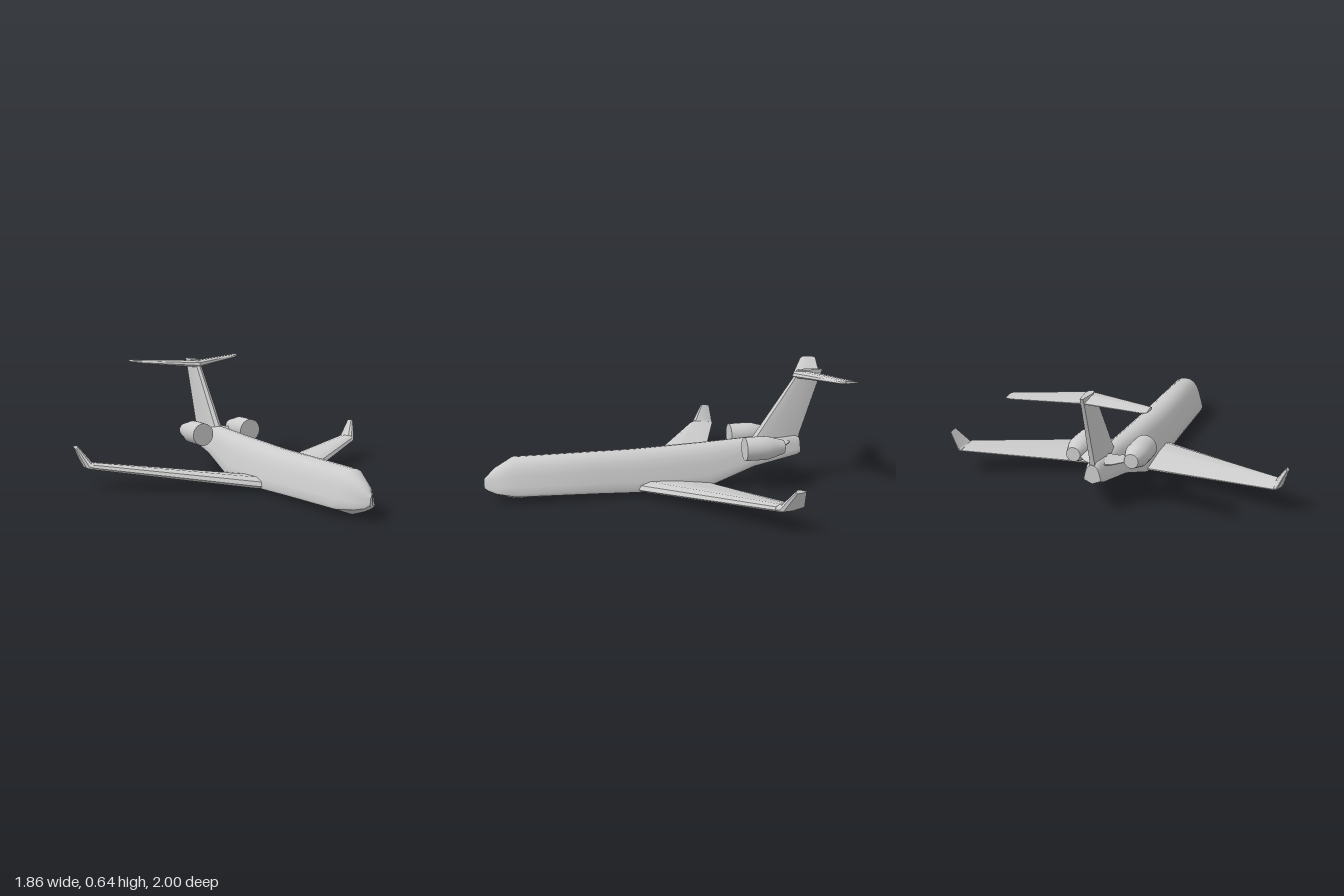
import * as THREE from 'three';
import { toCreasedNormals } from 'three/addons/utils/BufferGeometryUtils.js';

// Skin a row of equal-length closed rings ([x, y, z] points), cap both ends.
function loft(rings, crease = 0.6) {
  const n = rings[0].length, pos = rings.flat(2), idx = [];
  for (let r = 0; r < rings.length - 1; r++) {
    for (let i = 0; i < n; i++) {
      const a = r * n + i, b = r * n + (i + 1) % n;
      idx.push(a, b, a + n, b, b + n, a + n);
    }
  }
  const last = (rings.length - 1) * n;
  for (let i = 1; i < n - 1; i++) idx.push(0, i + 1, i, last, last + i, last + i + 1);

  // Turn the faces outward whichever way the rings run
  const p = (i) => new THREE.Vector3().fromArray(pos, i * 3);
  let volume = 0;
  for (let i = 0; i < idx.length; i += 3) volume += p(idx[i]).dot(p(idx[i + 1]).cross(p(idx[i + 2])));
  if (volume < 0) idx.reverse();

  const geo = new THREE.BufferGeometry();
  geo.setAttribute('position', new THREE.Float32BufferAttribute(pos, 3));
  geo.setIndex(idx);
  return toCreasedNormals(geo, crease);
}

// Airfoil outline as [chord fraction, thickness fraction]
const AIRFOIL = [[0, 0.3], [0.04, 0.7], [0.18, 1], [0.5, 0.92], [1, 0.5], [1, 0.38], [0.5, 0.04], [0.12, 0]];

// Section across a wing; the outer edge may lean by moving its top outward
const wingRing = ([x, front, back, low, high, lean = 0]) => AIRFOIL.map(([c, t]) =>
  [x - lean * t, low + (high - low) * t, front + (back - front) * c]);

export function createModel() {
  const model = new THREE.Group();
  const paint = new THREE.MeshStandardMaterial({ color: 0xcccccc });
  paint.name = 'light grey paint';
  const add = (name, geo, parent = model) => {
    const mesh = new THREE.Mesh(geo, paint);
    mesh.name = name;
    parent.add(mesh);
    return mesh;
  };

  // Fuselage: z, half width, keel, lower side edge, top
  const stations = [
    [1.0, 0.008, 0.07, 0.075, 0.12],
    [0.98, 0.03, 0.05, 0.06, 0.14],
    [0.94, 0.066, 0.033, 0.05, 0.178],
    [0.84, 0.113, 0, 0.04, 0.234],
    [0.4, 0.117, 0.02, 0.028, 0.235],
    [0.17, 0.12, 0.015, 0.02, 0.235],
    [-0.23, 0.112, 0.018, 0.024, 0.25],
    [-0.5, 0.084, 0.1, 0.115, 0.264],
    [-0.76, 0.056, 0.146, 0.16, 0.265],
    [-0.785, 0.045, 0.152, 0.17, 0.25],
  ];
  const half = [[0.25, 0.98], [0.46, 0.91], [0.65, 0.77], [0.79, 0.56], [0.92, 0.27], [1, 0.08], [0.95, 0]];
  add('fuselage', loft(stations.map(([z, w, keel, edge, top]) => {
    const side = half.map(([u, v]) => [u * w, edge + (top - edge) * v, z]);
    return [[0, top, z], ...side, [0, keel, z], ...side.map(([x, y]) => [-x, y, z]).reverse()];
  }), 0.7));

  // Tail fin: y, front z, back z, half thickness
  const fin = [
    [0.2, -0.47, -0.775, 0.038],
    [0.27, -0.515, -0.785, 0.031],
    [0.59, -0.74, -0.895, 0.023],
    [0.638, -0.765, -0.915, 0.02],
  ];
  add('tailFin', loft(fin.map(([y, f, b, t]) => {
    const at = (c) => f + (b - f) * c;
    return [[0, y, f], [t * 0.7, y, at(0.06)], [t, y, at(0.3)], [t * 0.4, y, b],
      [-t * 0.4, y, b], [-t, y, at(0.3)], [-t * 0.7, y, at(0.06)]];
  })));

  // Paired parts, mirrored by the sign of x
  for (const [side, s] of [['left', 1], ['right', -1]]) {
    const flip = (rings) => rings.map((ring) => ring.map(([x, y, z]) => [x * s, y, z]));

    // Main wing: x, front z, back z, low y, high y
    add(side + 'Wing', loft(flip([
      [0.04, 0.2, -0.22, 0.015, 0.07],
      [0.12, 0.17, -0.24, 0.016, 0.077],
      [0.87, -0.365, -0.515, 0.113, 0.15, 0.012],
    ].map(wingRing))));

    // Upturned wing tip
    add(side + 'Winglet', loft(flip([
      [0.872, -0.367, -0.515, 0.113, 0.15, 0.014],
      [0.894, -0.385, -0.515, 0.12, 0.153, 0.032],
      [0.931, -0.452, -0.508, 0.222, 0.238, 0.012],
    ].map(wingRing))));

    // Tailplane half
    add(side + 'Tailplane', loft(flip([
      [0, -0.738, -0.9, 0.592, 0.632],
      [0.33, -0.895, -0.995, 0.619, 0.64],
      [0.357, -0.915, -1, 0.627, 0.641],
    ].map(wingRing))));

    // Engine: closed pod with a tapered exhaust, and its pylon
    const engine = new THREE.Group();
    engine.name = side + 'Engine';
    model.add(engine);
    const profile = [[0, 0.42], [0.065, 0.42], [0.066, 0.5], [0.065, 0.55], [0.058, 0.575], [0.038, 0.645], [0, 0.645]];
    const pod = new THREE.LatheGeometry(profile.map(([r, z]) => new THREE.Vector2(r, -z)).reverse(), 28);
    pod.rotateX(Math.PI / 2).translate(0.157 * s, 0.24, 0);
    add('enginePod', toCreasedNormals(pod, 0.6), engine);

    // Pylon section: x, front z, back z, low y, high y
    add('enginePylon', loft(flip([
      [0.03, -0.6, -0.73, 0.215, 0.262],
      [0.075, -0.58, -0.69, 0.212, 0.25],
      [0.135, -0.54, -0.62, 0.215, 0.245],
    ].map(wingRing))), engine);
  }
  return model;
}
